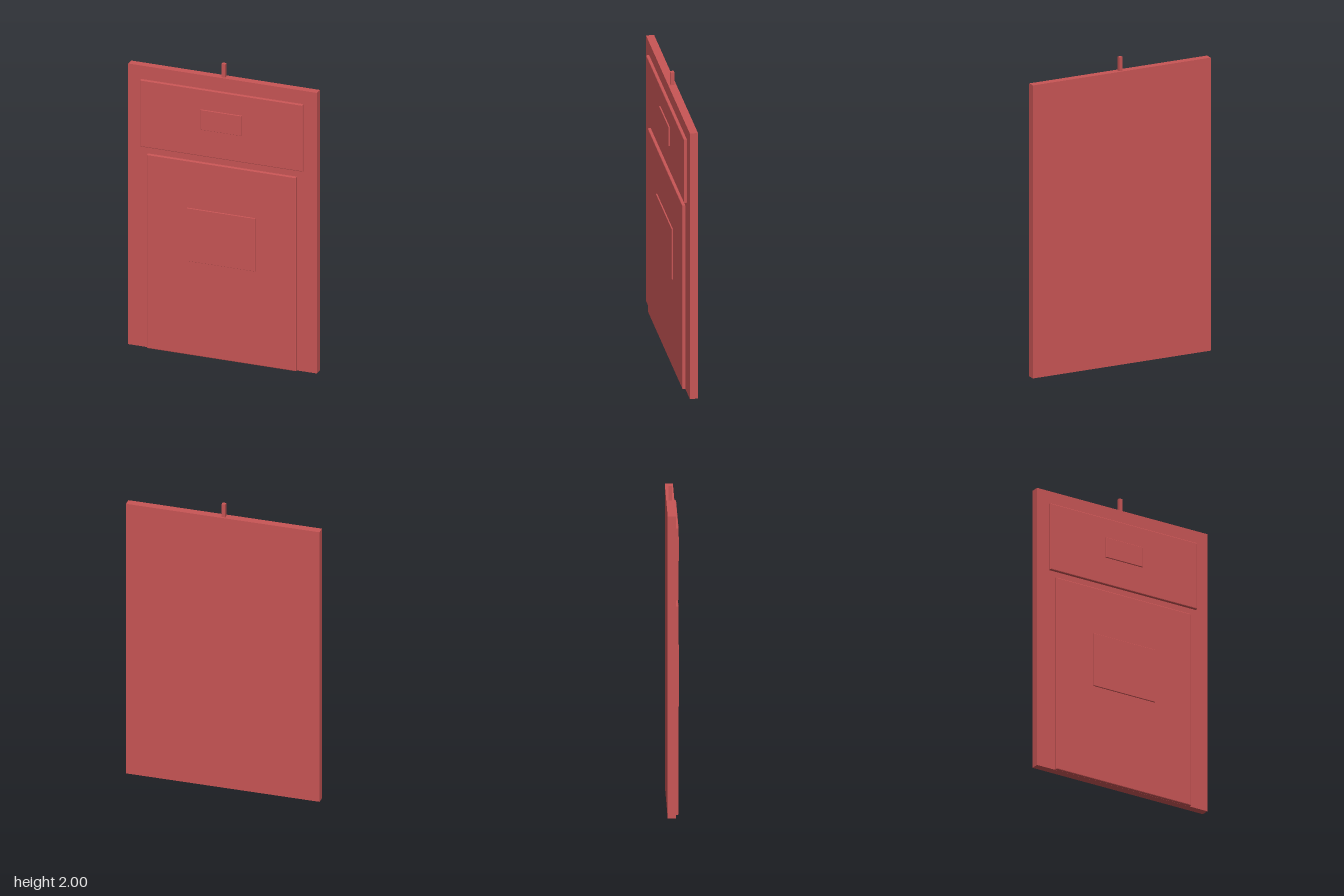
import * as THREE from 'three';

const material = new THREE.MeshStandardMaterial({ color: 0xc85555, flatShading: true });

// Plain block given by its x half-width, y range and z range
function block(name, halfWidth, y0, y1, z0, z1) {
  const mesh = new THREE.Mesh(new THREE.BoxGeometry(2 * halfWidth, y1 - y0, z1 - z0), material);
  mesh.position.set(0, (y0 + y1) / 2, (z0 + z1) / 2);
  mesh.name = name;
  return mesh;
}

// Slab with small chamfers around its front and back edges
function chamferedSlab(name, halfWidth, y0, y1, z0, z1, c) {
  const w = halfWidth - c;
  const shape = new THREE.Shape([
    new THREE.Vector2(-w, y0 + c), new THREE.Vector2(w, y0 + c),
    new THREE.Vector2(w, y1 - c), new THREE.Vector2(-w, y1 - c),
  ]);
  const geometry = new THREE.ExtrudeGeometry(shape, {
    depth: z1 - z0 - 2 * c, bevelEnabled: true, bevelSegments: 2, bevelSize: c, bevelThickness: c,
  });
  geometry.translate(0, 0, z0 + c);
  const mesh = new THREE.Mesh(geometry, material);
  mesh.name = name;
  return mesh;
}

export function createModel() {
  const model = new THREE.Group();
  model.name = 'panelledBoard';

  model.add(
    // Backing board and the peg on its top edge
    block('board', 0.633, 0, 1.91, -0.039, 0.012),
    block('topPeg', 0.012, 1.9, 2, -0.026, -0.002),
    // Raised panels on the front
    chamferedSlab('upperPanel', 0.545, 1.365, 1.82, 0.008, 0.031, 0.005),
    chamferedSlab('lowerPanel', 0.5, 0, 1.32, 0.008, 0.031, 0.005),
    // Thin plates on the panels
    chamferedSlab('upperPlate', 0.137, 1.548, 1.684, 0.028, 0.039, 0.002),
    chamferedSlab('lowerPlate', 0.228, 0.64, 1.001, 0.028, 0.039, 0.002),
  );
  return model;
}
